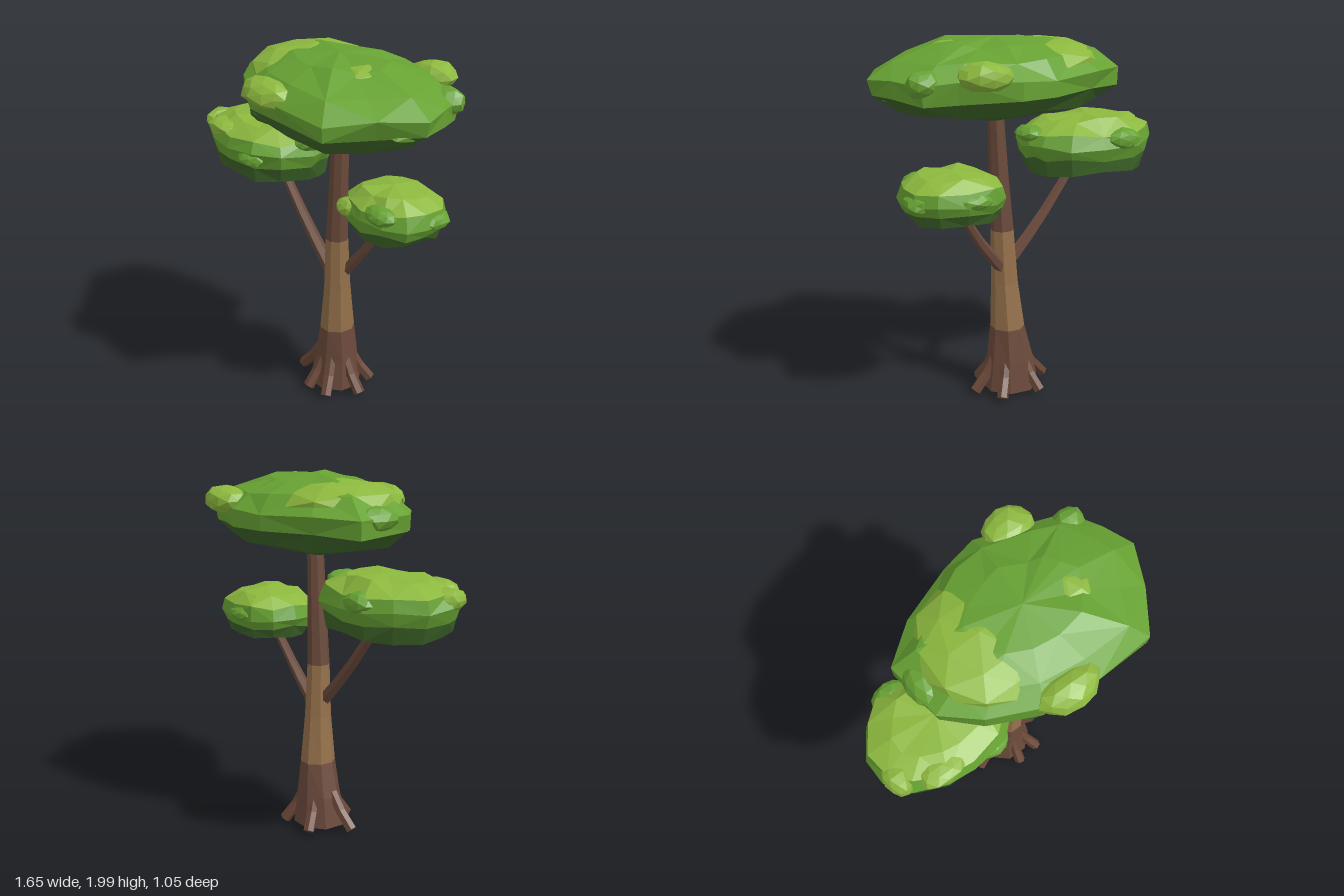
import * as THREE from 'three';

const BARK = 0x6b4a3b, BARK_LIGHT = 0x94704a, ROOT = 0x6a4838;
const LEAF_DARK = 0x3d6428, LEAF = 0x67a233, LEAF_LIGHT = 0x8cb83e;

function seeded(seed) {
  let s = seed;
  return () => (s = (s * 16807) % 2147483647) / 2147483647;
}

function mesh(name, geometry, color) {
  const m = new THREE.Mesh(geometry, new THREE.MeshStandardMaterial({ color, flatShading: true, roughness: 1 }));
  m.name = name;
  return m;
}

// Faceted skin through a stack of rings, each ring with the same number of points
function loft(rings) {
  const pos = [], n = rings[0].length;
  const tri = (...pts) => {
    const area = new THREE.Triangle(...pts).getArea();
    if (area > 1e-8) pts.forEach((p) => pos.push(p.x, p.y, p.z));
  };
  for (let r = 0; r < rings.length - 1; r++) {
    for (let k = 0; k < n; k++) {
      const j = (k + 1) % n;
      const a = rings[r][k], b = rings[r][j], c = rings[r + 1][k], d = rings[r + 1][j];
      if ((r + k) % 2) { tri(a, c, b); tri(b, c, d); }
      else { tri(a, c, d); tri(a, d, b); }
    }
  }
  const g = new THREE.BufferGeometry();
  g.setAttribute('position', new THREE.Float32BufferAttribute(pos, 3));
  g.computeVertexNormals();
  return g;
}

// Tapered limb along a curve, closed at the tip
function limb(name, points, r0, r1, color, steps = 5, sides = 6) {
  const curve = new THREE.CatmullRomCurve3(points.map((p) => new THREE.Vector3(...p)));
  const up = new THREE.Vector3(0, 1, 0), rings = [];
  const ring = (t, r) => {
    const q = new THREE.Quaternion().setFromUnitVectors(up, curve.getTangent(t));
    const c = curve.getPoint(t);
    rings.push(Array.from({ length: sides }, (_, k) => {
      const a = (k / sides) * Math.PI * 2;
      return new THREE.Vector3(Math.cos(a) * r, 0, Math.sin(a) * r).applyQuaternion(q).add(c);
    }));
  };
  for (let i = 0; i <= steps; i++) ring(i / steps, THREE.MathUtils.lerp(r0, r1, i / steps));
  ring(1, 0);
  return mesh(name, loft(rings), color);
}

// Flattened faceted clump of leaves
function clump(x, y, z, rx, ry, rz, color, seed, detail = 1) {
  const g = new THREE.IcosahedronGeometry(1, detail);
  const p = g.attributes.position, v = new THREE.Vector3();
  for (let i = 0; i < p.count; i++) {
    v.fromBufferAttribute(p, i);
    const k = 1 + 0.08 * Math.sin(v.x * 7 + seed) * Math.cos(v.z * 6 + v.y * 5 + seed * 2);
    p.setXYZ(i, x + v.x * rx * k, y + v.y * ry * k, z + v.z * rz * k);
  }
  g.computeVertexNormals();
  return mesh('leafClump', g, color);
}

// Canopy: plan outline scaled at each level [y, scale]; dark underside, green rim, crown
function canopy(name, cx, cz, outline, levels, seed, clumps) {
  const rnd = seeded(seed), group = new THREE.Group();
  group.name = name;
  const rings = levels.map(([y, s], i) => {
    const inner = s > 0 && i < levels.length - 1;
    return outline.map(([x, z]) => {
      const k = s * (inner && s < 1 ? 0.96 + rnd() * 0.08 : 1);
      const dy = inner ? (rnd() - 0.5) * 0.03 : 0;
      return new THREE.Vector3(cx + (x - cx) * k, y + dy, cz + (z - cz) * k);
    });
  });
  group.add(
    mesh('underside', loft(rings.slice(0, 3)), LEAF_DARK),
    mesh('rim', loft(rings.slice(2, 5)), LEAF),
    mesh('crown', loft(rings.slice(4)), name === 'topCanopy' ? LEAF : LEAF_LIGHT),
  );
  clumps.forEach((c, i) => group.add(clump(...c, seed + i)));
  return group;
}

export function createModel() {
  const tree = new THREE.Group();
  tree.name = 'tree';

  // Trunk: [y, centre x, centre z, radius x, radius z]
  const sections = [
    [0.03, 0.07, -0.03, 0, 0], [0.03, 0.07, -0.03, 0.15, 0.14], [0.2, 0.075, -0.035, 0.125, 0.115],
    [0.39, 0.088, -0.03, 0.09, 0.095], [0.65, 0.1, -0.02, 0.07, 0.072],
    [0.95, 0.108, -0.01, 0.06, 0.06], [1.25, 0.125, -0.007, 0.05, 0.052], [1.65, 0.143, -0.005, 0.04, 0.043],
  ].map(([y, x, z, rx, rz]) => Array.from({ length: 8 }, (_, k) => {
    const a = ((k + 0.5) / 8) * Math.PI * 2;
    return new THREE.Vector3(x + Math.cos(a) * rx * 1.05, y, z + Math.sin(a) * rz * 1.05);
  }));
  tree.add(
    mesh('trunkBase', loft(sections.slice(0, 4)), BARK),
    mesh('trunkMiddle', loft(sections.slice(3, 6)), BARK_LIGHT),
    mesh('trunkTop', loft(sections.slice(5)), BARK),
  );

  // Roots spreading from the trunk foot
  const tips = [[-0.16, 0.03], [0.06, 0.15], [0.2, 0.13], [0.29, -0.04], [0.19, -0.19], [-0.04, -0.18]];
  tips.forEach(([x, z]) => {
    const at = (t, y) => [0.075 + (x - 0.075) * t, y, -0.03 + (z + 0.03) * t];
    tree.add(limb('root', [at(0.4, 0.22), at(0.66, 0.12), at(1, 0.03)], 0.03, 0.032, ROOT, 2));
  });

  // Branches
  tree.add(
    limb('rightBranch', [[0.1, 0.72, 0], [-0.02, 0.84, 0.01], [-0.2, 1.05, 0.03], [-0.38, 1.3, 0.05]], 0.04, 0.024, BARK),
    limb('leftBranch', [[0.11, 0.72, -0.04], [0.2, 0.83, -0.06], [0.29, 0.95, -0.08], [0.41, 1.15, -0.12]], 0.036, 0.022, BARK),
  );

  // Canopies
  tree.add(canopy('topCanopy', 0.14, 0,
    [[0.83, 0], [0.72, 0.22], [0.58, 0.43], [0.25, 0.46], [-0.05, 0.42], [-0.3, 0.3], [-0.47, 0.15],
      [-0.5, -0.17], [-0.3, -0.32], [0, -0.44], [0.2, -0.48], [0.5, -0.38], [0.67, -0.33], [0.76, -0.16]],
    [[1.55, 0], [1.65, 0.82], [1.73, 0.96], [1.82, 1], [1.91, 0.8], [1.975, 0.46], [2, 0]], 11,
    [
      [0.1, 1.85, 0.42, 0.17, 0.075, 0.1, LEAF_LIGHT],
      [0.37, 1.86, -0.42, 0.14, 0.075, 0.11, LEAF_LIGHT],
      [-0.1, 1.86, -0.01, 0.33, 0.125, 0.34, LEAF_LIGHT],
      [0.38, 1.93, 0.02, 0.11, 0.055, 0.14, LEAF_LIGHT],
      [0.64, 1.82, -0.28, 0.09, 0.07, 0.08, LEAF],
      [-0.42, 1.81, -0.02, 0.09, 0.07, 0.13, LEAF],
      [0.7, 1.74, 0, 0.08, 0.05, 0.14, LEAF],
      [-0.02, 1.7, 0.33, 0.13, 0.06, 0.08, LEAF_DARK],
    ]));

  tree.add(canopy('rightCanopy', -0.42, 0.05,
    [[-0.03, 0.04], [-0.08, 0.22], [-0.2, 0.33], [-0.4, 0.36], [-0.56, 0.35], [-0.74, 0.27], [-0.82, 0.15],
      [-0.82, 0], [-0.72, -0.14], [-0.6, -0.24], [-0.4, -0.24], [-0.2, -0.22], [-0.08, -0.12], [-0.04, -0.04]],
    [[1.2, 0], [1.25, 0.88], [1.33, 0.92], [1.4, 1], [1.465, 0.92], [1.525, 0.6], [1.54, 0]], 23,
    [
      [-0.75, 1.44, 0.18, 0.07, 0.06, 0.1, LEAF_LIGHT],
      [-0.26, 1.37, 0.29, 0.1, 0.05, 0.07, LEAF],
      [-0.08, 1.46, 0.03, 0.08, 0.045, 0.1, LEAF],
      [-0.53, 1.43, -0.19, 0.11, 0.06, 0.08, LEAF],
      [-0.55, 1.46, 0.27, 0.13, 0.05, 0.09, LEAF_LIGHT],
    ]));

  tree.add(canopy('leftCanopy', 0.44, -0.13,
    [[0.72, -0.12], [0.7, 0], [0.6, 0.08], [0.45, 0.11], [0.3, 0.09], [0.19, 0], [0.16, -0.12],
      [0.19, -0.25], [0.28, -0.34], [0.44, -0.37], [0.6, -0.34], [0.7, -0.25]],
    [[1.05, 0], [1.1, 0.82], [1.15, 0.92], [1.21, 1], [1.27, 0.93], [1.33, 0.62], [1.35, 0]], 37,
    [
      [0.3, 1.22, 0.05, 0.08, 0.055, 0.07, LEAF_LIGHT],
      [0.55, 1.26, 0.05, 0.1, 0.05, 0.07, LEAF],
      [0.66, 1.21, -0.2, 0.07, 0.05, 0.1, LEAF],
      [0.4, 1.22, -0.31, 0.11, 0.05, 0.07, LEAF],
    ]));

  return tree;
}
